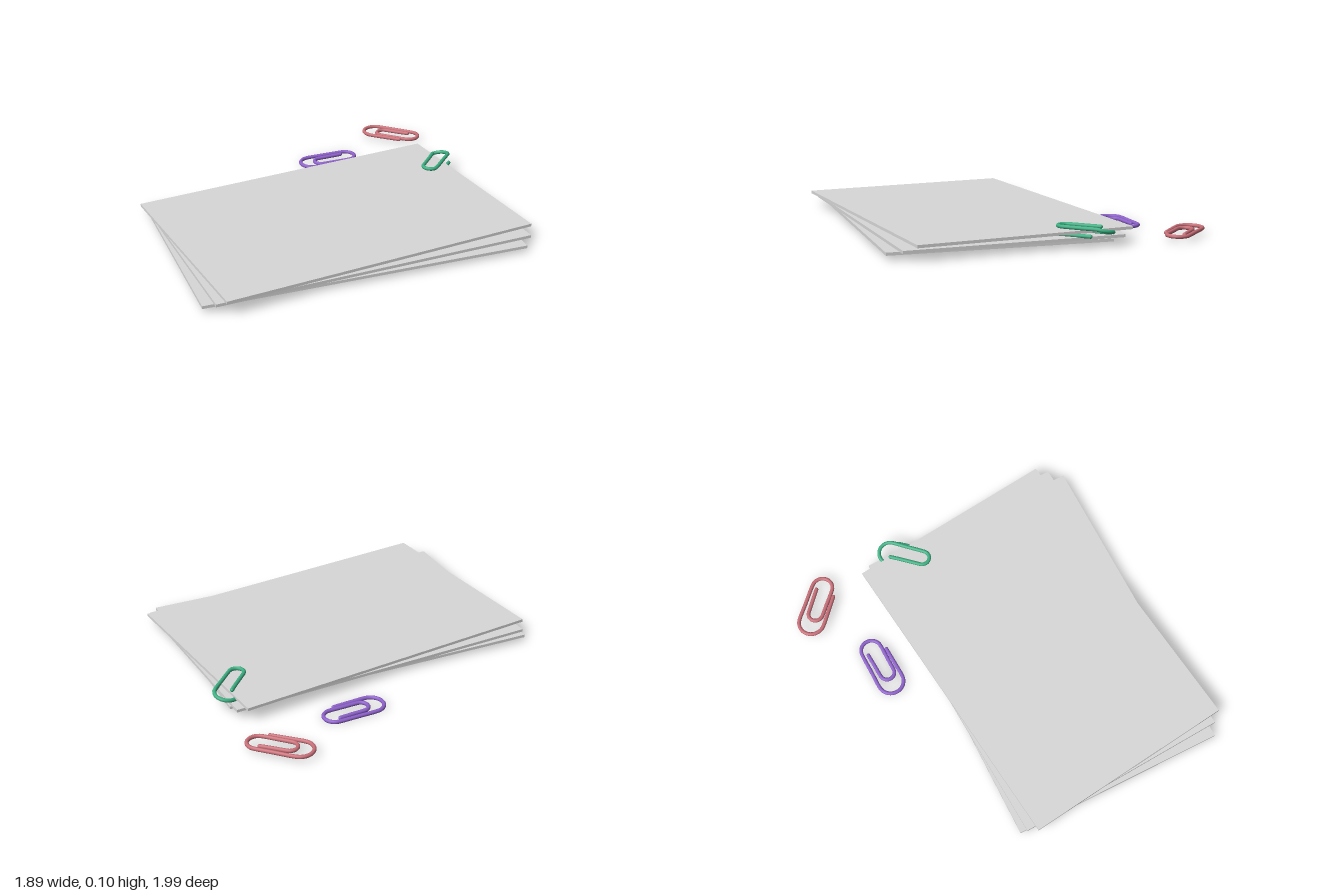
import * as THREE from 'three';

const mat = (name, color) => {
  const m = new THREE.MeshStandardMaterial({ color });
  m.name = name;
  return m;
};

// Bent wire path of a clip lying flat; `drop` lowers the outer loop, `inner` places the inner bend
function clipPath(drop, inner) {
  const pts = [];
  const add = (u, v, y) => pts.push(new THREE.Vector3(u, y, v));
  // half turn around (cu, cv); side -1 bends to -u, +1 to +u
  const arc = (cu, cv, r, side, y0, y1) => {
    for (let i = 0; i <= 10; i++) {
      const a = (i / 10) * Math.PI;
      add(cu + side * r * Math.sin(a), cv - side * r * Math.cos(a), y0 + (y1 - y0) * (i / 10));
    }
  };
  add(0.075, 0.058, -drop);
  add(-0.01, 0.061, -drop);
  arc(-0.089, 0, 0.063, -1, -drop, -drop);
  add(0, -0.063, -drop);
  arc(0.103, -0.0115, 0.0515, 1, -drop, 0);
  add(0.03, 0.04, 0);
  arc(inner + 0.036, 0.004, 0.036, -1, 0, 0);
  add(0.02, -0.034, 0);
  add(0.087, -0.037, 0);
  return new THREE.CatmullRomCurve3(pts, false, 'centripetal');
}

function makeClip(name, material, x, y, z, degrees, drop = 0, inner = -0.076) {
  const clip = new THREE.Group();
  clip.name = name;
  const r = 0.0095;
  const path = clipPath(drop, inner);
  const wire = new THREE.Mesh(new THREE.TubeGeometry(path, 160, r, 10), material);
  wire.name = 'bentWire';
  clip.add(wire);
  // rounded wire ends
  for (const t of [0, 1]) {
    const tip = new THREE.Mesh(new THREE.SphereGeometry(r, 10, 8), material);
    tip.name = 'wireTip';
    tip.position.copy(path.getPoint(t));
    clip.add(tip);
  }
  clip.position.set(x, y, z);
  clip.rotation.y = THREE.MathUtils.degToRad(degrees);
  return clip;
}

export function createModel() {
  const model = new THREE.Group();
  model.name = 'papersAndClips';
  const paper = mat('paper', 0xd8d8d8);
  const green = mat('greenWire', 0x3cb083);
  const red = mat('redWire', 0xc96f78);
  const purple = mat('purpleWire', 0x8f62cc);

  // fanned sheets: name, x, y, z, turn in degrees
  const sheets = [
    ['bottomSheet', -0.016, 0.0275, 0.195, 18.4],
    ['middleSheet', 0, 0.0415, 0.173, 21.8],
    ['topSheet', 0, 0.0695, 0.167, 25.3],
  ];
  for (const [name, x, y, z, turn] of sheets) {
    const sheet = new THREE.Mesh(new THREE.BoxGeometry(1.583, 0.014, 1.063), paper);
    sheet.name = name;
    sheet.position.set(x, y, z);
    sheet.rotation.y = THREE.MathUtils.degToRad(turn);
    model.add(sheet);
  }

  // two loose clips, and one gripping the corner of the top sheet
  model.add(makeClip('purpleClip', purple, 0.002, 0.0095, -0.61, 20));
  model.add(makeClip('redClip', red, 0.36, 0.031, -0.897, -25.5));
  model.add(makeClip('greenClip', green, 0.55, 0.086, -0.405, 65, 0.031, -0.105));
  return model;
}
